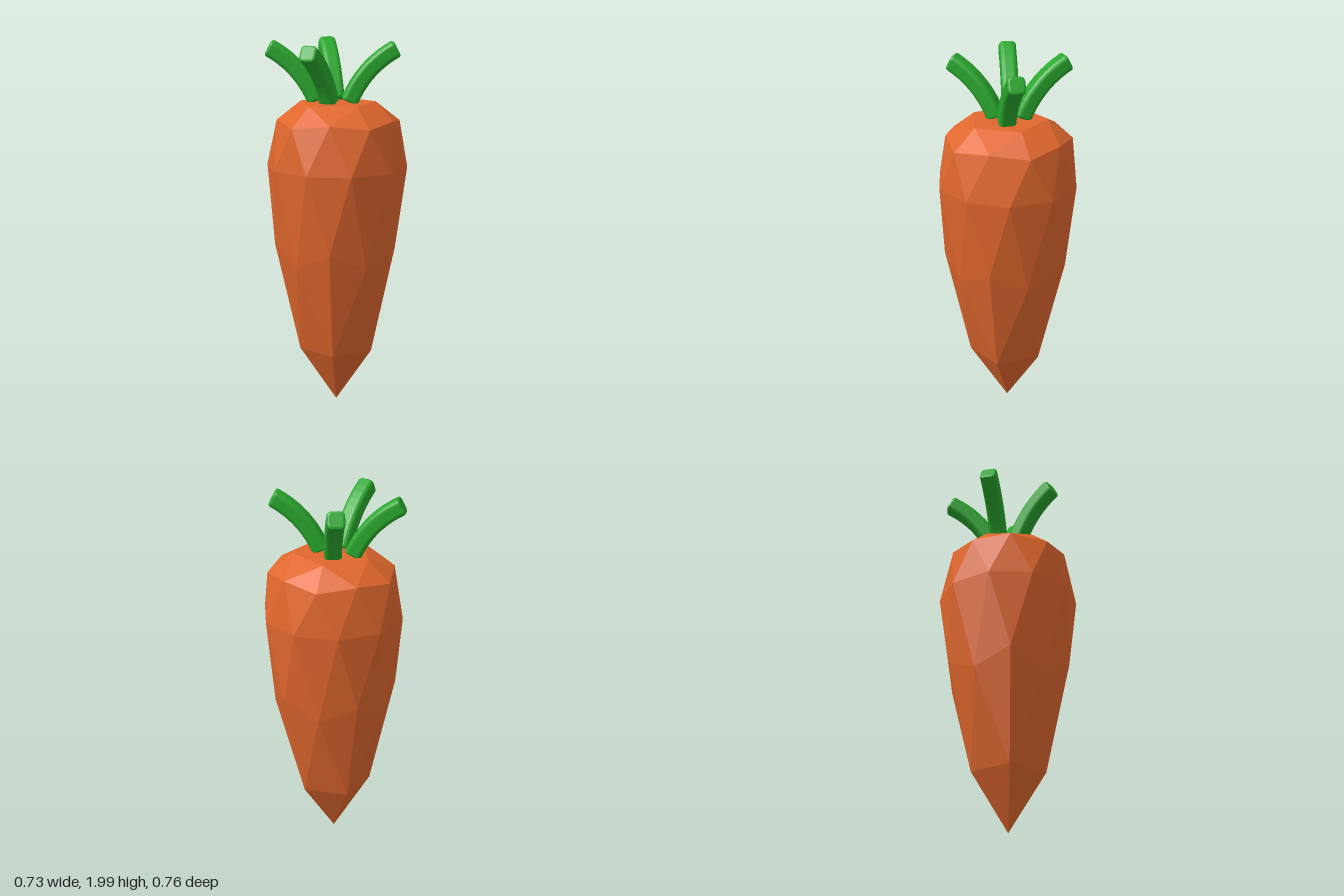
import * as THREE from 'three';

// Root body: [height on unit sphere, final y, final radius] for each ring of the faceted sphere
const RINGS = [
  [1, 1.675, 0], [0.851, 1.67, 0.212], [0.526, 1.587, 0.325], [0.447, 1.565, 0.345],
  [0, 1.33, 0.379], [-0.447, 0.91, 0.341], [-0.526, 0.82, 0.317], [-0.851, 0.31, 0.206], [-1, 0, 0],
];

// Leaf stalks: inner end x, z and outer end x, z
const LEAVES = [
  [0.02, 0.02, 0.34, 0.065],
  [0.015, -0.025, 0.015, -0.355],
  [-0.045, -0.043, -0.36, -0.13],
  [-0.013, 0.005, -0.207, 0.257],
];

// Faceted sphere, one corner up, reshaped ring by ring into a tapered root
function rootGeometry() {
  const geo = new THREE.IcosahedronGeometry(1, 1);
  geo.rotateZ(-Math.atan(2 / (1 + Math.sqrt(5))));
  const pos = geo.attributes.position;
  for (let i = 0; i < pos.count; i++) {
    const x = pos.getX(i), y = pos.getY(i), z = pos.getZ(i);
    const [, height, radius] = RINGS.reduce((a, b) => (Math.abs(b[0] - y) < Math.abs(a[0] - y) ? b : a));
    const k = radius / (Math.hypot(x, z) || 1);
    pos.setXYZ(i, x * k + 0.008 * (radius > 0 ? 1 : 0.5), height, z * k);
  }
  geo.computeVertexNormals();
  return geo;
}

// Bevelled square bar, bent outwards along a curve in the local x-y plane
function leafGeometry() {
  const bevel = 0.012, h = 0.046 - bevel, r = 0.014, depth = 0.36;
  const shape = new THREE.Shape();
  [[1, 1], [-1, 1], [-1, -1], [1, -1]].forEach(([sx, sy], i) => {
    shape.absarc(sx * (h - r), sy * (h - r), r, (i * Math.PI) / 2, ((i + 1) * Math.PI) / 2, false);
  });
  shape.closePath();
  const geo = new THREE.ExtrudeGeometry(shape, {
    depth, steps: 9, curveSegments: 2, bevelSize: bevel, bevelThickness: bevel, bevelSegments: 2,
  });
  const curve = new THREE.QuadraticBezierCurve(
    new THREE.Vector2(0.05, 1.675), new THREE.Vector2(0.13, 1.865), new THREE.Vector2(0.305, 1.957));
  const pos = geo.attributes.position;
  for (let i = 0; i < pos.count; i++) {
    const t = THREE.MathUtils.clamp((pos.getZ(i) + bevel) / (depth + 2 * bevel), 0, 1);
    const p = curve.getPointAt(t), d = curve.getTangentAt(t), y = pos.getY(i);
    pos.setXYZ(i, p.x - d.y * y, p.y + d.x * y, -pos.getX(i));
  }
  geo.computeVertexNormals();
  return geo;
}

export function createModel() {
  const model = new THREE.Group();
  model.name = 'carrot';
  const orange = new THREE.MeshStandardMaterial({ color: 0xe0672d, flatShading: true });
  const green = new THREE.MeshStandardMaterial({ color: 0x29a82d, flatShading: true });

  const root = new THREE.Mesh(rootGeometry(), orange);
  root.name = 'root';
  model.add(root);

  // Four identical stalks fanned around the crown
  const leaves = new THREE.Group();
  leaves.name = 'leaves';
  const geo = leafGeometry();
  LEAVES.forEach(([x0, z0, x1, z1], i) => {
    const leaf = new THREE.Mesh(geo, green);
    leaf.name = `leaf${i + 1}`;
    leaf.position.set(x0, 0, z0);
    leaf.rotation.y = -Math.atan2(z1 - z0, x1 - x0);
    leaf.scale.x = Math.hypot(x1 - x0, z1 - z0) / 0.327;
    leaves.add(leaf);
  });
  model.add(leaves);
  return model;
}
